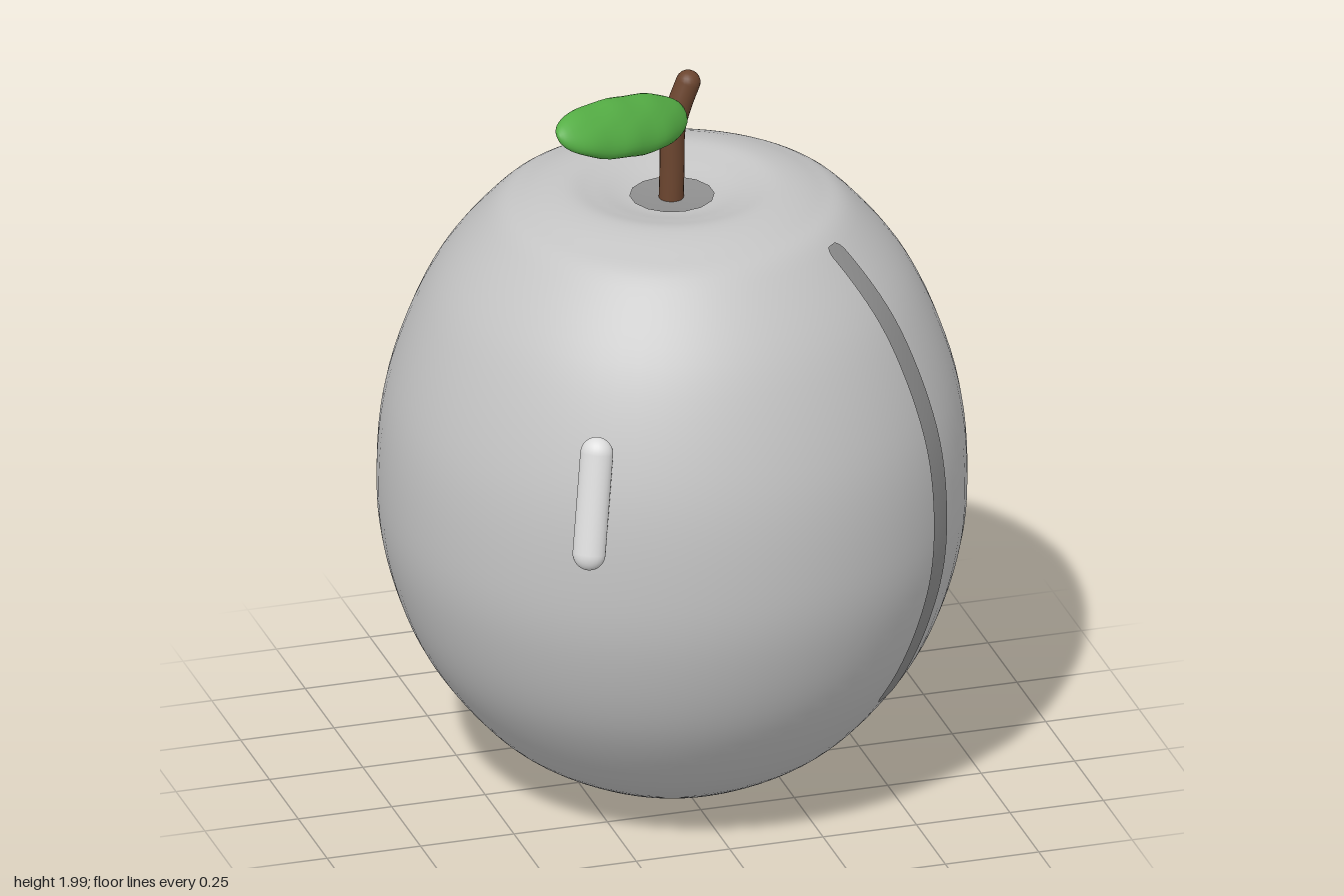
import * as THREE from 'three';
import { mergeVertices } from 'three/addons/utils/BufferGeometryUtils.js';

const mat = (name, color) => {
  const m = new THREE.MeshStandardMaterial({ color });
  m.name = name;
  return m;
};

// Fruit outline (radius, height) from the base up over the rim into the dimple
const profile = new THREE.SplineCurve([
  [0, 0], [0.16, 0.012], [0.31, 0.065], [0.48, 0.18], [0.64, 0.385], [0.728, 0.61],
  [0.756, 0.83], [0.73, 1.1], [0.625, 1.38], [0.475, 1.575], [0.38, 1.63], [0.28, 1.655],
  [0.2, 1.642], [0.11, 1.62], [0, 1.612],
].map(([r, y]) => new THREE.Vector2(r, y)));

// Curve parameter at a height on the outer flank
function paramAt(y) {
  let lo = 0, hi = 11 / 14;
  for (let i = 0; i < 30; i++) {
    const mid = (lo + hi) / 2;
    if (profile.getPoint(mid).y < y) lo = mid; else hi = mid;
  }
  return lo;
}

// Point on the outline pushed outward by a small offset
function outlinePoint(t, offset) {
  const p = profile.getPoint(t), d = profile.getTangent(t);
  return new THREE.Vector2(Math.max(0, p.x + d.y * offset), p.y - d.x * offset);
}

// Crease: a thin strip that hugs the flank, with rounded ends
function creaseGeometry() {
  const rows = 60, cols = 6, pos = [], index = [];
  const t0 = paramAt(0.345), t1 = paramAt(1.585);
  for (let i = 0; i <= rows; i++) {
    const s = (1 - Math.cos((i / rows) * Math.PI)) / 2;
    const p = outlinePoint(t0 + (t1 - t0) * s, 0.005);
    const centre = THREE.MathUtils.degToRad(43.5 + 4 * Math.sin(Math.PI * Math.pow(s, 0.9)));
    const end = Math.max(0, 1 - Math.min(s / 0.02, (1 - s) / 0.035));
    const half = (0.041 - 0.01 * s * s) * Math.sqrt(Math.max(0, 1 - 0.75 * end * end));
    for (let j = 0; j <= cols; j++) {
      const a = centre + ((j / cols) * 2 - 1) * half / p.x;
      pos.push(p.x * Math.sin(a), p.y, p.x * Math.cos(a));
      if (i < rows && j < cols) {
        const k = i * (cols + 1) + j, n = k + cols + 1;
        index.push(k, k + 1, n, k + 1, n + 1, n);
      }
    }
  }
  const g = new THREE.BufferGeometry();
  g.setAttribute('position', new THREE.Float32BufferAttribute(pos, 3));
  g.setIndex(index);
  g.computeVertexNormals();
  return g;
}

// Leaf: a flattened, blunt-ended blob, long in y, wide in x, thin in z
function leafGeometry() {
  const g = new THREE.SphereGeometry(1, 32, 24);
  g.deleteAttribute('uv');
  g.deleteAttribute('normal');
  const p = g.attributes.position;
  for (let i = 0; i < p.count; i++) {
    const x = p.getX(i), y = p.getY(i), z = p.getZ(i);
    const fat = 1 + 0.12 * y * y;
    p.setXYZ(i, x * 0.083 * fat + 0.012 * y * y, y * 0.236,
      z * 0.044 * fat + 0.012 * (0.5 - y * y) + 0.004 * Math.sin(y * 11) * Math.abs(x));
  }
  const merged = mergeVertices(g, 1e-5);
  merged.computeVertexNormals();
  return merged;
}

// Turn a mesh so its y axis follows `along` and its z axis leans to `out`
function orient(mesh, along, out) {
  const y = along.clone().normalize();
  const x = new THREE.Vector3().crossVectors(y, out).normalize();
  const z = new THREE.Vector3().crossVectors(x, y);
  mesh.quaternion.setFromRotationMatrix(new THREE.Matrix4().makeBasis(x, y, z));
}

export function createModel() {
  const model = new THREE.Group();
  model.name = 'fruit';
  const skin = mat('skin grey', 0xc4c4c4);
  const shade = mat('crease grey', 0x8f8f8f);
  const shine = mat('highlight grey', 0xdcdcdc);
  const bark = mat('stem brown', 0x6b452f);
  const green = mat('leaf green', 0x55ae45);
  const add = (name, geometry, material, parent = model) => {
    const m = new THREE.Mesh(geometry, material);
    m.name = name;
    parent.add(m);
    return m;
  };

  // Body and the dark patch in its dimple
  const outline = profile.getPoints(84);
  outline[0].x = outline[84].x = 0;
  add('body', new THREE.LatheGeometry(outline, 72), skin);
  const patch = [];
  for (let i = 0; i <= 6; i++) patch.push(outlinePoint(13 / 14 + i / 84, 0.004));
  patch[6].x = 0;
  add('dimplePatch', new THREE.LatheGeometry(patch, 14), shade);

  add('crease', creaseGeometry(), shade);

  // Raised highlight lying on the front flank
  const low = new THREE.Vector3(-0.424, 0.96, 0.655), high = new THREE.Vector3(-0.388, 1.215, 0.605);
  const axis = high.clone().sub(low);
  const highlight = add('highlight', new THREE.CapsuleGeometry(0.043, axis.length(), 10, 24), shine);
  highlight.position.copy(low).add(high).multiplyScalar(0.5);
  highlight.scale.z = 0.75;
  orient(highlight, axis, new THREE.Vector3(-0.53, 0.2, 0.83));

  // Stem with a bent, rounded tip
  const stem = new THREE.Group();
  stem.name = 'stem';
  model.add(stem);
  const path = new THREE.CatmullRomCurve3([
    [-0.003, 1.58, 0], [0, 1.7, 0], [0.003, 1.81, 0], [0.02, 1.875, 0], [0.043, 1.935, 0],
  ].map((v) => new THREE.Vector3(...v)));
  add('stemShaft', new THREE.TubeGeometry(path, 32, 0.032, 20), bark, stem);
  add('stemTip', new THREE.SphereGeometry(0.032, 20, 14), bark, stem).position.set(0.043, 1.935, 0);

  // Leaf reaching out to the front right, its broad face tilted up
  const leaf = add('leaf', leafGeometry(), green);
  leaf.position.set(-0.175, 1.905, 0.155);
  orient(leaf, new THREE.Vector3(-0.4, 0.085, 0.22), new THREE.Vector3(0.34, 0.7, 0.62));

  return model;
}
